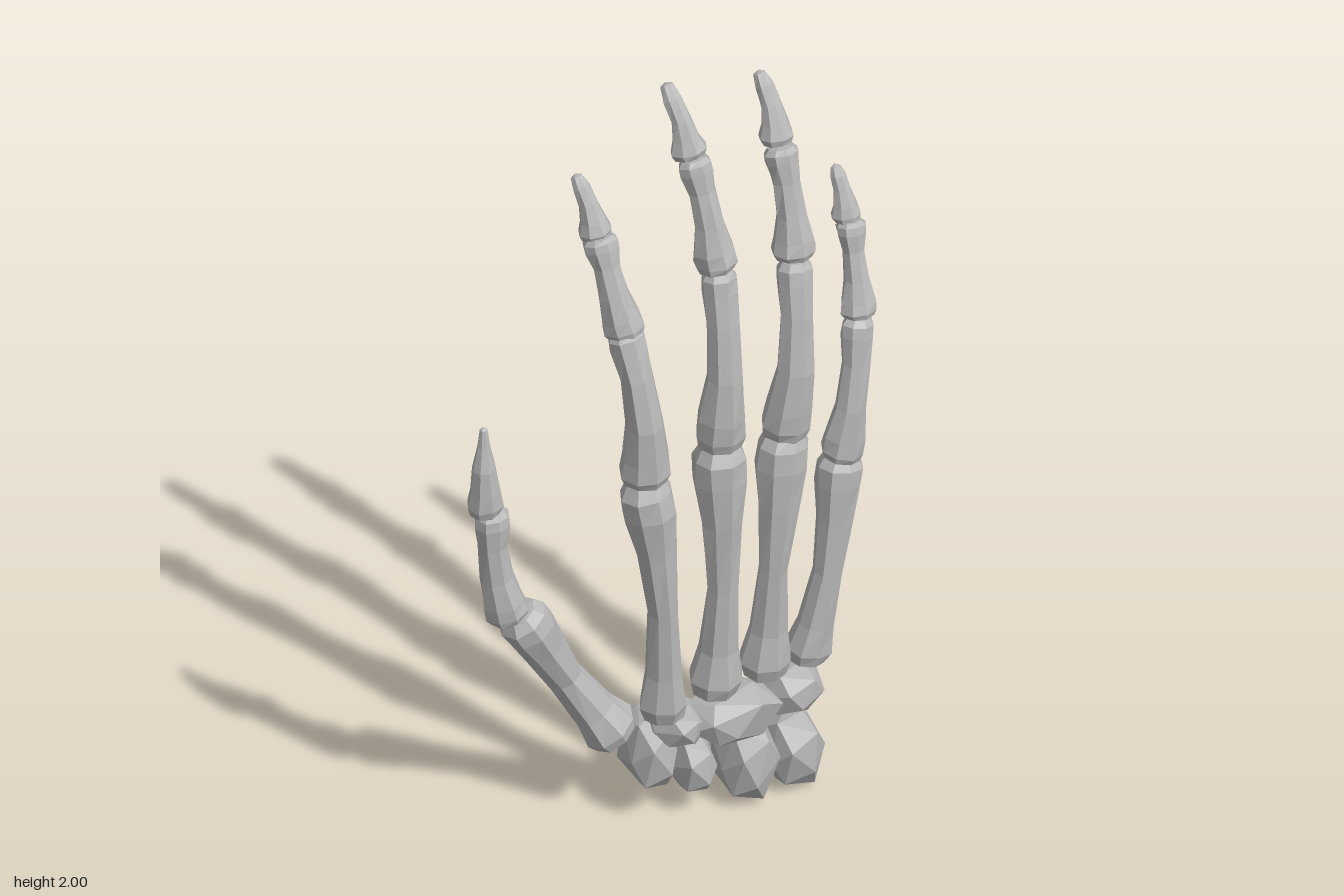
import * as THREE from 'three';
import { ConvexGeometry } from 'three/addons/geometries/ConvexGeometry.js';

const boneMaterial = new THREE.MeshStandardMaterial({ color: 0xb8b8b8, flatShading: true });
boneMaterial.name = 'bone grey';

// Small seeded generator for chipped, irregular facets
function makeRandom(seed) {
  let s = seed;
  return () => (s = (s * 16807) % 2147483647) / 2147483647;
}

// Profiles: [position along bone, base weight, shaft weight, head weight, palm groove]
const profiles = {
  metacarpal: [
    [0, 0.85, 0, 0, 0.8], [0.06, 1, 0, 0, 0.8], [0.2, 0.3, 0.75, 0, 0.75], [0.48, 0, 1, 0, 0.7],
    [0.72, 0, 0.65, 0.4, 0.75], [0.87, 0, 0, 1, 0.8], [0.95, 0, 0, 1, 0.75], [1, 0, 0, 0.7, 0.8],
  ],
  phalanx: [
    [0, 0.85, 0, 0, 0.8], [0.06, 1, 0, 0, 0.7], [0.17, 0.8, 0.2, 0, 0.75], [0.4, 0, 1.08, 0, 0.7],
    [0.7, 0, 0.97, 0, 0.7], [0.88, 0, 0, 1, 0.75], [0.96, 0, 0, 1, 0.6], [1, 0, 0, 0.75, 0.6],
  ],
  tip: [
    [0, 0.85, 0, 0, 0.8], [0.1, 1, 0, 0, 0.75], [0.28, 0.5, 0.5, 0, 0.75], [0.55, 0, 1, 0, 0.7],
    [0.82, 0, 0, 1.15, 0.7], [1, 0, 0, 0.75, 0.8],
  ],
};

// Lofts an eight-sided bone through start, middle and end points
function bone(name, kind, points, [base, shaft, head], seed) {
  const sides = 8;
  const random = makeRandom(seed);
  const curve = new THREE.CatmullRomCurve3(points.map((p) => new THREE.Vector3(...p)));
  const positions = [];
  const index = [];
  const rows = profiles[kind];
  rows.forEach(([t, b, s, h, groove]) => {
    const c = curve.getPoint(t);
    const tangent = curve.getTangent(t);
    const side = new THREE.Vector3(1, 0, 0).addScaledVector(tangent, -tangent.x).normalize();
    const front = side.clone().cross(tangent);
    const r = base * b + shaft * s + head * h;
    for (let i = 0; i < sides; i++) {
      const a = (i / sides) * Math.PI * 2;
      const k = r * (0.97 + 0.14 * random());
      const back = i === 6 ? groove : 1;
      const p = c.clone().addScaledVector(side, Math.cos(a) * k)
        .addScaledVector(front, Math.sin(a) * k * 0.95 * back);
      positions.push(p.x, p.y, p.z);
    }
  });
  // Walls
  for (let j = 0; j < rows.length - 1; j++) {
    for (let i = 0; i < sides; i++) {
      const a = j * sides + i;
      const b = j * sides + ((i + 1) % sides);
      index.push(a, a + sides, b, b, a + sides, b + sides);
    }
  }
  // Joint faces
  const bottom = positions.length / 3;
  const first = curve.getPoint(0);
  const last = curve.getPoint(1).addScaledVector(curve.getTangent(1), 0.008);
  positions.push(first.x, first.y, first.z, last.x, last.y, last.z);
  const top = (rows.length - 1) * sides;
  for (let i = 0; i < sides; i++) {
    const n = (i + 1) % sides;
    index.push(bottom, i, n, bottom + 1, top + n, top + i);
  }
  const geometry = new THREE.BufferGeometry();
  geometry.setAttribute('position', new THREE.Float32BufferAttribute(positions, 3));
  geometry.setIndex(index);
  const flat = geometry.toNonIndexed();
  flat.computeVertexNormals();
  const mesh = new THREE.Mesh(flat, boneMaterial);
  mesh.name = name;
  return mesh;
}

// Chunky wrist bone: hull of points scattered on a boxy ellipsoid
function wristBone(name, [x, y, z], [rx, ry, rz], seed) {
  const random = makeRandom(seed);
  const points = [];
  const count = 18;
  for (let i = 0; i < count; i++) {
    const v = 1 - (2 * (i + 0.5)) / count;
    const a = i * 2.39996 + random() * 0.5;
    const w = Math.sqrt(1 - v * v);
    const box = (n) => Math.sign(n) * Math.pow(Math.abs(n), 0.8);
    const k = 0.92 + random() * 0.16;
    points.push(new THREE.Vector3(
      x + rx * k * box(w * Math.cos(a)),
      Math.max(0.005, y + ry * k * box(v)),
      z + rz * k * box(w * Math.sin(a)),
    ));
  }
  const mesh = new THREE.Mesh(new ConvexGeometry(points), boneMaterial);
  mesh.name = name;
  return mesh;
}

// Each digit: [bone, profile, [start, middle, end], [base, shaft, head] half widths]
const digits = {
  indexFinger: [
    ['metacarpal', 'metacarpal', [[-0.075, 0.31, 0.05], [-0.09, 0.64, 0.075], [-0.125, 1.01, 0.05]], [0.057, 0.036, 0.063]],
    ['proximalPhalanx', 'phalanx', [[-0.122, 1.01, 0.05], [-0.135, 1.22, 0.062], [-0.16, 1.43, 0.012]], [0.06, 0.042, 0.045]],
    ['middlePhalanx', 'phalanx', [[-0.155, 1.42, 0.01], [-0.178, 1.55, -0.015], [-0.19, 1.67, -0.055]], [0.05, 0.034, 0.042]],
    ['distalPhalanx', 'tip', [[-0.188, 1.665, -0.07], [-0.198, 1.74, -0.085], [-0.212, 1.81, -0.125]], [0.042, 0.024, 0.019]],
  ],
  middleFinger: [
    ['metacarpal', 'metacarpal', [[0.063, 0.34, 0.055], [0.07, 0.66, 0.08], [0.075, 1.05, 0.055]], [0.066, 0.037, 0.064]],
    ['proximalPhalanx', 'phalanx', [[0.077, 1.05, 0.055], [0.08, 1.3, 0.072], [0.088, 1.53, 0.03]], [0.062, 0.041, 0.043]],
    ['middlePhalanx', 'phalanx', [[0.083, 1.54, 0.03], [0.068, 1.69, 0.01], [0.053, 1.83, -0.03]], [0.053, 0.034, 0.041]],
    ['distalPhalanx', 'tip', [[0.052, 1.83, -0.045], [0.042, 1.91, -0.065], [0.03, 1.995, -0.12]], [0.043, 0.025, 0.021]],
  ],
  ringFinger: [
    ['metacarpal', 'metacarpal', [[0.205, 0.34, 0.045], [0.215, 0.66, 0.07], [0.255, 1.02, 0.05]], [0.064, 0.036, 0.062]],
    ['proximalPhalanx', 'phalanx', [[0.255, 1.015, 0.05], [0.28, 1.25, 0.067], [0.3, 1.48, 0.02]], [0.061, 0.041, 0.043]],
    ['middlePhalanx', 'phalanx', [[0.302, 1.49, 0.015], [0.302, 1.63, -0.005], [0.296, 1.77, -0.045]], [0.053, 0.034, 0.041]],
    ['distalPhalanx', 'tip', [[0.296, 1.775, -0.06], [0.295, 1.86, -0.08], [0.285, 1.94, -0.125]], [0.042, 0.025, 0.02]],
  ],
  littleFinger: [
    ['metacarpal', 'metacarpal', [[0.32, 0.33, 0.035], [0.37, 0.59, 0.058], [0.418, 0.89, 0.035]], [0.056, 0.036, 0.055]],
    ['proximalPhalanx', 'phalanx', [[0.417, 0.88, 0.035], [0.445, 1.06, 0.045], [0.477, 1.25, 0.015]], [0.054, 0.035, 0.039]],
    ['middlePhalanx', 'phalanx', [[0.481, 1.255, 0.01], [0.482, 1.37, -0.01], [0.488, 1.49, -0.045]], [0.045, 0.028, 0.037]],
    ['distalPhalanx', 'tip', [[0.484, 1.49, -0.055], [0.48, 1.56, -0.068], [0.475, 1.62, -0.095]], [0.036, 0.021, 0.017]],
  ],
  thumb: [
    ['metacarpal', 'metacarpal', [[-0.165, 0.24, -0.02], [-0.29, 0.44, -0.05], [-0.412, 0.66, -0.05]], [0.066, 0.043, 0.06]],
    ['proximalPhalanx', 'phalanx', [[-0.435, 0.65, -0.06], [-0.468, 0.8, -0.065], [-0.475, 0.965, -0.07]], [0.054, 0.037, 0.042]],
    ['distalPhalanx', 'tip', [[-0.492, 0.97, -0.07], [-0.5, 1.09, -0.058], [-0.498, 1.21, -0.065]], [0.044, 0.028, 0.013]],
  ],
};

const wristBones = [
  ['trapezium', [-0.09, 0.19, 0.0], [0.06, 0.1, 0.085]],
  ['trapezoid', [-0.035, 0.27, 0.05], [0.07, 0.05, 0.08]],
  ['capitate', [0.1, 0.27, 0.07], [0.125, 0.07, 0.09]],
  ['scaphoid', [0.01, 0.135, 0.03], [0.055, 0.08, 0.09]],
  ['lunate', [0.14, 0.12, 0.06], [0.075, 0.115, 0.095]],
  ['triquetrum', [0.27, 0.105, 0.055], [0.078, 0.1, 0.095]],
  ['hamate', [0.27, 0.27, 0.04], [0.08, 0.065, 0.09]],
  ['pisiform', [0.315, 0.195, -0.1], [0.052, 0.06, 0.06]],
];

export function createModel() {
  const hand = new THREE.Group();
  hand.name = 'handSkeleton';
  let seed = 11;

  // Digits
  for (const [name, bones] of Object.entries(digits)) {
    const digit = new THREE.Group();
    digit.name = name;
    for (const [part, kind, points, widths] of bones) {
      digit.add(bone(part, kind, points, widths, (seed += 977)));
    }
    hand.add(digit);
  }

  // Wrist
  const wrist = new THREE.Group();
  wrist.name = 'wrist';
  for (const [name, center, size] of wristBones) {
    wrist.add(wristBone(name, center, size, (seed += 977)));
  }
  hand.add(wrist);
  return hand;
}
